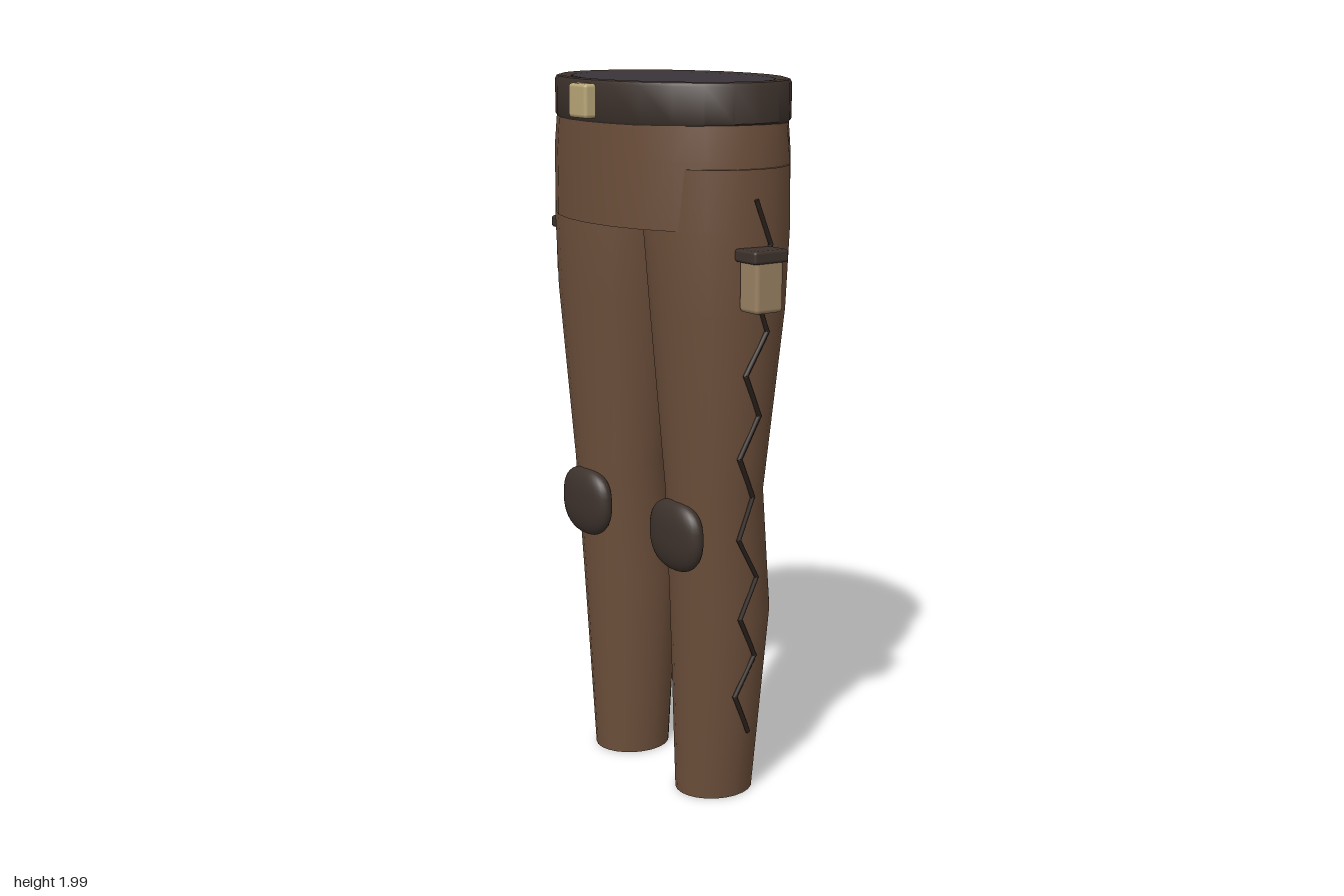
import * as THREE from 'three';
import { RoundedBoxGeometry } from 'three/addons/geometries/RoundedBoxGeometry.js';
import { toCreasedNormals } from 'three/addons/utils/BufferGeometryUtils.js';

const paint = (color) => new THREE.MeshStandardMaterial({ color });
const cloth = paint(0x6b4e3a);
const leather = paint(0x3d322c);
const seam = paint(0x2a211c);
const canvas = paint(0x9a8163);
const brass = paint(0xb8a678);
const lining = paint(0x38343a);

function add(parent, name, geometry, material, x = 0, y = 0, z = 0) {
  const mesh = new THREE.Mesh(geometry, material);
  mesh.name = name;
  mesh.position.set(x, y, z);
  parent.add(mesh);
  return mesh;
}

// Closed tube through elliptical rings [y, centreX, centreZ, radiusX, radiusZ], bottom to top
function loft(rings, sides = 24) {
  const pos = [], index = [];
  for (const [y, cx, cz, rx, rz] of rings) {
    for (let i = 0; i < sides; i++) {
      const a = (i / sides) * Math.PI * 2;
      pos.push(cx + rx * Math.sin(a), y, cz + rz * Math.cos(a));
    }
  }
  const last = (rings.length - 1) * sides;
  for (let r = 0; r < last; r += sides) {
    for (let i = 0; i < sides; i++) {
      const j = (i + 1) % sides;
      index.push(r + i, r + j, r + sides + j, r + i, r + sides + j, r + sides + i);
    }
  }
  for (let i = 1; i < sides - 1; i++) {
    index.push(0, i + 1, i, last, last + i, last + i + 1);
  }
  const g = new THREE.BufferGeometry();
  g.setAttribute('position', new THREE.Float32BufferAttribute(pos, 3));
  g.setIndex(index);
  return toCreasedNormals(g, 0.7);
}

// Left leg rings
const legRings = [
  [0.01, 0.203, -0.018, 0.103, 0.112],
  [0.55, 0.217, -0.026, 0.137, 0.141],
  [0.90, 0.224, 0.002, 0.138, 0.133],
  [1.40, 0.225, -0.004, 0.187, 0.180],
  [1.62, 0.216, -0.007, 0.196, 0.197],
  [1.78, 0.213, -0.008, 0.198, 0.194],
];

// Outer surface x of the left leg at a given height and depth
function legSide(y, z) {
  let k = 0;
  while (k < legRings.length - 2 && y > legRings[k + 1][0]) k++;
  const a = legRings[k], b = legRings[k + 1];
  const t = (y - a[0]) / (b[0] - a[0]);
  const [, cx, cz, rx, rz] = a.map((v, i) => v + (b[i] - v) * t);
  return cx + rx * Math.sqrt(1 - ((z - cz) / rz) ** 2);
}

// Knee pad: a squarish dome, fuller at the top than at the bottom
function kneePadGeometry() {
  const g = new THREE.SphereGeometry(1, 28, 20);
  const p = g.attributes.position;
  const soft = (v, e) => Math.sign(v) * Math.abs(v) ** e;
  for (let i = 0; i < p.count; i++) {
    const x = p.getX(i), y = p.getY(i), z = p.getZ(i);
    p.setXYZ(i, soft(x, 0.86) * 0.11, soft(y, y > 0 ? 0.72 : 0.9) * 0.099, z * 0.04);
  }
  g.computeVertexNormals();
  return g;
}

// Zigzag lacing along the outside of a leg
function lacing(side) {
  const group = new THREE.Group();
  group.name = 'sideLacing';
  const depths = [0.013, -0.035, 0.02, -0.03, 0.03, -0.024, 0.03,
    -0.024, 0.02, -0.045, 0.008, -0.05, 0.008, -0.045];
  const points = depths.map((z, i) => {
    const y = 1.7 - i * 0.115;
    return new THREE.Vector3(side * (legSide(y, z) + 0.003), y, z);
  });
  const up = new THREE.Vector3(0, 1, 0);
  for (let i = 0; i < points.length - 1; i++) {
    const d = points[i + 1].clone().sub(points[i]);
    const m = add(group, 'lace', new THREE.CylinderGeometry(0.007, 0.007, d.length() + 0.006, 6), seam);
    m.position.copy(points[i]).addScaledVector(d, 0.5);
    m.quaternion.setFromUnitVectors(up, d.normalize());
  }
  return group;
}

// Hip pouch with a lid
function pouch(side) {
  const group = new THREE.Group();
  group.name = 'pouch';
  add(group, 'pouchBody', new RoundedBoxGeometry(0.076, 0.145, 0.09, 2, 0.012), canvas, 0, -0.012, 0);
  add(group, 'pouchLid', new RoundedBoxGeometry(0.088, 0.034, 0.112, 2, 0.008), leather, 0, 0.063, 0);
  group.position.set(side * 0.439, 1.5, 0.016);
  return group;
}

export function createModel() {
  const model = new THREE.Group();
  model.name = 'trousers';

  // Hips
  add(model, 'hips', loft([
    [1.62, 0, -0.011, 0.398, 0.273],
    [1.80, 0, -0.011, 0.400, 0.273],
    [1.92, 0, -0.012, 0.382, 0.270],
  ]), cloth);

  // Belt, lining disc and buckle
  const beltProfile = [
    [0.340, 1.890], [0.384, 1.887], [0.390, 1.894], [0.390, 1.988],
    [0.384, 1.997], [0.372, 2.0], [0.336, 1.996], [0.336, 1.95],
  ].map(([r, y]) => new THREE.Vector2(r, y));
  const belt = new THREE.LatheGeometry(beltProfile, 24);
  belt.scale(1, 1, 0.278 / 0.39);
  add(model, 'belt', toCreasedNormals(belt, 0.7), leather, 0, 0, -0.014);
  const disc = new THREE.CylinderGeometry(0.34, 0.34, 0.03, 24);
  disc.scale(1, 1, 0.237 / 0.34);
  add(model, 'waistLining', disc, lining, 0, 1.982, -0.016);
  add(model, 'buckle', new RoundedBoxGeometry(0.084, 0.09, 0.05, 2, 0.01), brass, 0, 1.943, 0.268);

  // Legs with knee pads, lacing and pouches
  for (const side of [1, -1]) {
    const leg = new THREE.Group();
    leg.name = side > 0 ? 'leftLeg' : 'rightLeg';
    const rings = legRings.map(([y, cx, ...rest]) => [y, side * cx, ...rest]);
    add(leg, 'trouserLeg', loft(rings), cloth);
    add(leg, 'kneePad', kneePadGeometry(), leather, side * 0.219, 0.78, 0.126);
    leg.add(lacing(side), pouch(side));
    model.add(leg);
  }
  return model;
}
